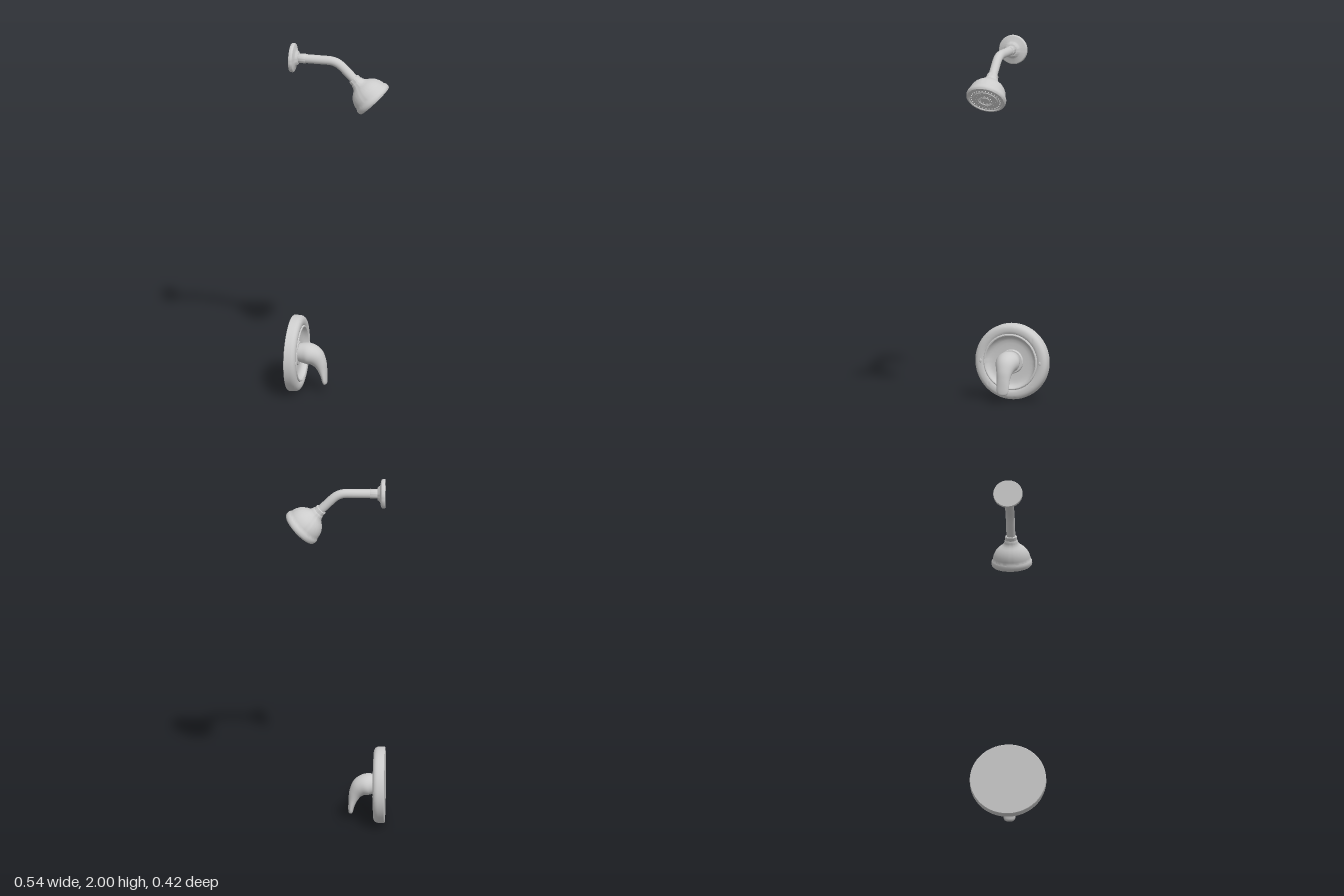
import * as THREE from 'three';
import { toCreasedNormals, mergeGeometries, mergeVertices } from 'three/addons/utils/BufferGeometryUtils.js';

const material = new THREE.MeshStandardMaterial({ color: 0xcccccc });

function mesh(name, geometry) {
  const m = new THREE.Mesh(geometry, material);
  m.name = name;
  return m;
}

// Turned part: profile of [radius, distance along axis]; the axis points along +x tilted by angle
function turned(name, profile, x, y, angle = 0, segments = 64) {
  const points = profile.map(([r, d]) => new THREE.Vector2(r, d));
  const m = mesh(name, toCreasedNormals(new THREE.LatheGeometry(points, segments), 0.6));
  m.position.set(x, y, 0);
  m.rotation.z = angle - Math.PI / 2;
  return m;
}

// Loft of elliptical sections [x, y, half thickness, half width in z] along a path in the xy plane
function loft(sections, steps = 56, sides = 32) {
  const path = new THREE.CatmullRomCurve3(sections.map(s => new THREE.Vector3(s[0], s[1], 0)), false, 'catmullrom');
  const size = new THREE.CatmullRomCurve3(sections.map(s => new THREE.Vector3(s[2], s[3], 0)), false, 'catmullrom');
  const positions = [], index = [];
  for (let i = 0; i <= steps; i++) {
    const p = path.getPoint(i / steps), t = path.getTangent(i / steps), s = size.getPoint(i / steps);
    for (let j = 0; j < sides; j++) {
      const a = (j / sides) * Math.PI * 2, h = s.x * Math.cos(a);
      positions.push(p.x - t.y * h, p.y + t.x * h, s.y * Math.sin(a));
      if (i === steps) continue;
      const k = (j + 1) % sides, a0 = i * sides + j, b0 = i * sides + k;
      index.push(a0, b0, a0 + sides, b0, b0 + sides, a0 + sides);
    }
  }
  const g = new THREE.BufferGeometry();
  g.setAttribute('position', new THREE.Float32BufferAttribute(positions, 3));
  g.setIndex(index);
  const welded = mergeVertices(g);
  welded.computeVertexNormals();
  return welded;
}

function showerHead() {
  const group = new THREE.Group();
  group.name = 'showerHead';
  const x = 0.193, y = 1.706, angle = -Math.PI / 4;

  // Bell with a threaded collar and a shallow groove behind the rim
  group.add(turned('headShell', [
    [0, -0.17], [0.029, -0.17], [0.032, -0.166], [0.032, -0.148], [0.036, -0.143], [0.038, -0.134],
    [0.042, -0.126], [0.05, -0.117], [0.062, -0.109], [0.076, -0.097], [0.088, -0.082], [0.096, -0.066],
    [0.101, -0.05], [0.103, -0.036], [0.106, -0.032], [0.11, -0.026], [0.111, -0.014], [0.109, -0.005],
    [0.104, 0], [0.096, 0.001], [0.092, -0.004], [0.07, -0.003], [0.067, 0.001], [0.044, 0.002],
    [0.041, -0.002], [0.024, -0.002], [0.021, 0.002], [0, 0.003],
  ], x, y, angle));

  // Rings of spray nozzles
  const nozzles = [];
  for (const [radius, count] of [[0.081, 28], [0.056, 18], [0.032, 10]]) {
    for (let i = 0; i < count; i++) {
      const a = (i / count) * Math.PI * 2;
      const g = new THREE.CylinderGeometry(0.0022, 0.0035, 0.006, 8);
      g.translate(radius * Math.cos(a), 0, radius * Math.sin(a));
      nozzles.push(g);
    }
  }
  const spray = mesh('sprayNozzles', mergeGeometries(nozzles));
  spray.position.set(x, y, 0);
  spray.rotation.z = angle - Math.PI / 2;
  group.add(spray);
  return group;
}

function showerArm() {
  const group = new THREE.Group();
  group.name = 'showerArm';
  const y = 1.92;

  // Wall flange
  group.add(turned('wallFlange', [
    [0, 0], [0.078, 0], [0.08, 0.003], [0.08, 0.014], [0.077, 0.02], [0.07, 0.023],
    [0.05, 0.027], [0.043, 0.031], [0.036, 0.041], [0.032, 0.043], [0, 0.043],
  ], -0.274, y));

  // Bent pipe: straight run, smooth bend, 45 degree drop
  const path = new THREE.CurvePath();
  const v = (px, py) => new THREE.Vector3(px, py, 0);
  path.add(new THREE.LineCurve3(v(-0.25, y), v(-0.07, y)));
  path.add(new THREE.CubicBezierCurve3(v(-0.07, y), v(-0.015, y), v(0.005, 1.895), v(0.035, 1.865)));
  path.add(new THREE.LineCurve3(v(0.035, 1.865), v(0.085, 1.815)));
  group.add(mesh('pipe', new THREE.TubeGeometry(path, 60, 0.0245, 28)));

  // Sleeve by the wall
  group.add(turned('sleeve', [
    [0.02, 0], [0.0255, 0], [0.0265, 0.002], [0.0265, 0.04], [0.0255, 0.042], [0.02, 0.042],
  ], -0.233, y, 0, 32));
  return group;
}

function valve() {
  const group = new THREE.Group();
  group.name = 'valve';
  const y = 0.208;

  // Round wall plate with a rolled rim and a recessed dish
  group.add(turned('wallPlate', [
    [0, 0], [0.205, 0], [0.208, 0.003], [0.208, 0.034], [0.206, 0.044], [0.201, 0.053], [0.193, 0.059],
    [0.183, 0.062], [0.17, 0.062], [0.16, 0.06], [0.155, 0.057], [0.153, 0.062], [0.148, 0.064],
    [0.144, 0.062], [0.138, 0.05], [0.13, 0.041], [0.118, 0.035], [0.1, 0.032], [0.075, 0.031], [0, 0.031],
  ], -0.272, y, 0, 96));

  // Temperature marks on both sides of the rim
  for (const side of [-1, 1]) {
    const mark = mesh('temperatureMark', new THREE.SphereGeometry(1, 16, 10));
    mark.scale.set(0.004, 0.011, 0.007);
    mark.position.set(-0.211, y, side * 0.17);
    group.add(mark);
  }

  // Stem collar behind the handle
  group.add(turned('stemCollar', [
    [0, 0], [0.066, 0], [0.066, 0.012], [0.062, 0.017], [0.05, 0.018], [0, 0.018],
  ], -0.245, y));

  // Lever handle: round hub flowing into a flat downward lever
  group.add(mesh('leverHandle', loft([
    [-0.245, 0.212, 0.046, 0.048], [-0.205, 0.213, 0.055, 0.058], [-0.172, 0.21, 0.058, 0.066],
    [-0.14, 0.195, 0.053, 0.057], [-0.114, 0.163, 0.038, 0.044], [-0.099, 0.125, 0.026, 0.037],
    [-0.09, 0.088, 0.018, 0.035], [-0.086, 0.06, 0.014, 0.032], [-0.085, 0.045, 0.01, 0.022],
    [-0.085, 0.039, 0, 0],
  ])));
  return group;
}

export function createModel() {
  const model = new THREE.Group();
  model.name = 'showerSet';
  model.add(showerArm(), showerHead(), valve());
  return model;
}
